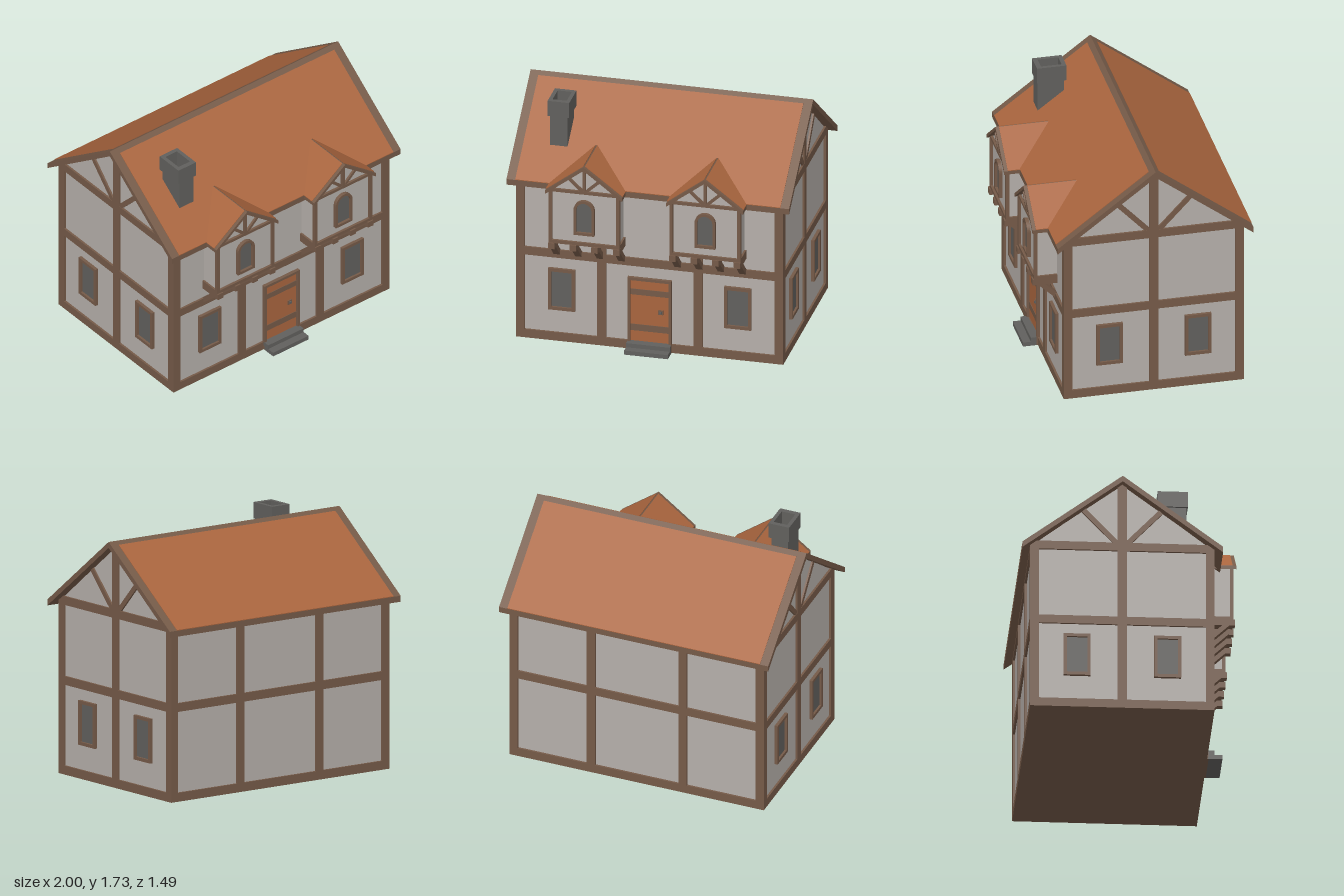
import * as THREE from 'three';

const mat = (name, color) => Object.assign(new THREE.MeshStandardMaterial({ color }), { name });

export function createModel() {
  const plaster = mat('plaster', 0xb5afaa);
  const timber = mat('timber', 0x755a48);
  const tile = mat('clay orange', 0xa9653e);
  const stone = mat('grey stone', 0x61605d);

  const house = new THREE.Group();
  house.name = 'house';
  const CZ = -0.055; // centre line of the body in z

  const add = (parent, name, geo, material) => {
    const m = new THREE.Mesh(geo, material);
    m.name = name;
    parent.add(m);
    return m;
  };
  // Box from its limits
  const box = (parent, name, material, x0, x1, y0, y1, z0, z1) => {
    const g = new THREE.BoxGeometry(x1 - x0, y1 - y0, z1 - z0);
    g.translate((x0 + x1) / 2, (y0 + y1) / 2, (z0 + z1) / 2);
    return add(parent, name, g, material);
  };
  const poly = (pts) => new THREE.Shape(pts.map(([a, b]) => new THREE.Vector2(a, b)));
  // Profile in x,y extruded from z0 to z1
  const prismZ = (parent, name, material, shape, z0, z1) => {
    const g = new THREE.ExtrudeGeometry(shape, { depth: z1 - z0, bevelEnabled: false, curveSegments: 10 });
    g.translate(0, 0, z0);
    return add(parent, name, g, material);
  };
  // Profile in z,y extruded from x0 to x1
  const prismX = (parent, name, material, shape, x0, x1) => {
    const g = new THREE.ExtrudeGeometry(shape, { depth: x1 - x0, bevelEnabled: false });
    g.rotateY(-Math.PI / 2);
    g.translate(x1, 0, 0);
    return add(parent, name, g, material);
  };
  // Straight strip of width w between two points
  const strip = ([ax, ay], [bx, by], w) => {
    const l = Math.hypot(bx - ax, by - ay);
    const nx = (-(by - ay) / l) * w / 2, ny = ((bx - ax) / l) * w / 2;
    return poly([[ax - nx, ay - ny], [bx - nx, by - ny], [bx + nx, by + ny], [ax + nx, ay + ny]]);
  };
  // Roof cross-section, and the tile sheet lying on one slope
  const chevron = (c, half, top, eave, t) => poly([
    [c - half, eave - t], [c, top - t], [c + half, eave - t], [c + half, eave], [c, top], [c - half, eave]]);
  const sheet = (c, half, top, eave, s, gap) => {
    const y = top - (gap / half) * (top - eave), t = 0.005;
    return poly([[c + s * gap, y], [c + s * half, eave], [c + s * half, eave + t], [c + s * gap, y + t]]);
  };
  const rect = (w, y0, y1) => poly([[-w, y0], [w, y0], [w, y1], [-w, y1]]);
  const arch = (w, y0, spring) => {
    const s = new THREE.Shape();
    s.moveTo(-w, y0);
    s.lineTo(w, y0);
    s.lineTo(w, spring);
    s.absarc(0, spring, w, 0, Math.PI, false);
    s.closePath();
    return s;
  };
  // Frame and pane, facing +z with its back on z = 0
  const opening = (parent, name, outer, inner, paneMat, depth) => {
    const g = new THREE.Group();
    g.name = name;
    outer.holes.push(inner);
    prismZ(g, 'frame', timber, outer, -0.005, depth);
    prismZ(g, 'pane', paneMat, inner, -0.005, 0.007);
    parent.add(g);
    return g;
  };

  // Walls
  prismX(house, 'walls', plaster, poly([
    [-0.675, 0.03], [0.565, 0.03], [0.565, 1.22], [CZ, 1.70], [-0.675, 1.22]]), -0.93, 0.93);

  // Horizontal timbers around the body
  for (const [y0, y1, name] of [[0, 0.062, 'sillBeam'], [0.63, 0.69, 'floorBeam'], [1.19, 1.25, 'wallPlate']])
    box(house, name, timber, -0.945, 0.945, y0, y1, -0.69, 0.58);

  for (const s of [-1, 1]) {
    const lo = (a, b) => [Math.min(s * a, s * b), Math.max(s * a, s * b)];
    // Posts
    for (const z of [-0.69, 0.52]) box(house, 'cornerPost', timber, ...lo(0.885, 0.945), 0, 1.22, z, z + 0.06);
    box(house, 'frontPost', timber, ...lo(0.31, 0.372), 0, 1.2, 0.55, 0.58);
    box(house, 'backPost', timber, ...lo(0.31, 0.372), 0, 1.2, -0.69, -0.66);
    box(house, 'gablePost', timber, ...lo(0.915, 0.945), 0, 1.69, CZ - 0.032, CZ + 0.032);
    // Gable braces
    for (const d of [-1, 1])
      prismX(house, 'gableBrace', timber,
        strip([CZ + d * 0.025, 1.235], [CZ + d * 0.265, 1.49], 0.036), ...lo(0.915, 0.943));
    // Ground floor windows
    opening(house, 'frontWindow', rect(0.095, 0.235, 0.548), rect(0.073, 0.258, 0.525), stone, 0.022)
      .position.set(s * 0.623, 0, 0.565);
    for (const z of [0.257, -0.367]) {
      const w = opening(house, 'sideWindow', rect(0.093, 0.238, 0.55), rect(0.071, 0.261, 0.528), stone, 0.023);
      w.position.set(s * 0.93, 0, z);
      w.rotation.y = s * Math.PI / 2;
    }
  }

  // Main roof
  prismX(house, 'roofFrame', timber, chevron(CZ, 0.69, 1.732, 1.215, 0.042), -1, 1);
  for (const s of [-1, 1])
    prismX(house, 'roofTiles', tile, sheet(CZ, 0.69, 1.732, 1.215, s, 0.035), -0.938, 0.938);

  // Hollow chimney
  const ring = (name, x0, x1, z0, z1, y0, y1) => {
    const wall = poly([[x0, -z1], [x1, -z1], [x1, -z0], [x0, -z0]]);
    wall.holes.push(poly([[-0.738, -0.375], [-0.638, -0.375], [-0.638, -0.23], [-0.738, -0.23]]));
    const g = new THREE.ExtrudeGeometry(wall, { depth: y1 - y0, bevelEnabled: false });
    g.rotateX(-Math.PI / 2);
    g.translate(0, y0, 0);
    add(house, name, g, stone);
  };
  ring('chimneyShaft', -0.75, -0.626, 0.215, 0.4, 1.37, 1.63);
  ring('chimneyCap', -0.765, -0.612, 0.2, 0.408, 1.617, 1.732);

  // Door and steps
  const door = opening(house, 'door', rect(0.155, 0.0, 0.545), rect(0.136, 0.06, 0.525), tile, 0.025);
  door.position.z = 0.565;
  for (const [y0, y1] of [[0.14, 0.188], [0.412, 0.455]])
    box(door, 'doorBand', timber, -0.136, 0.136, y0, y1, 0.005, 0.011);
  box(door, 'handlePlate', timber, 0.06, 0.095, 0.278, 0.312, 0.005, 0.014);
  box(door, 'handle', stone, 0.069, 0.086, 0.287, 0.303, 0.012, 0.022);
  box(house, 'lowerStep', stone, -0.155, 0.155, 0, 0.031, 0.55, 0.685);
  box(house, 'upperStep', stone, -0.155, 0.155, 0.031, 0.062, 0.55, 0.63);

  // Jettied dormers
  for (const side of [-1, 1]) {
    const d = new THREE.Group();
    d.name = side > 0 ? 'leftDormer' : 'rightDormer';
    d.position.x = side * 0.428;
    house.add(d);
    prismZ(d, 'dormerWalls', plaster, poly([
      [-0.238, 0.82], [0.238, 0.82], [0.238, 1.21], [0, 1.39], [-0.238, 1.21]]), 0.5, 0.71);
    box(d, 'dormerSill', timber, -0.252, 0.252, 0.812, 0.836, 0.55, 0.728);
    box(d, 'dormerTie', timber, -0.252, 0.252, 1.204, 1.226, 0.69, 0.728);
    box(d, 'kingPost', timber, -0.011, 0.011, 1.22, 1.4, 0.69, 0.727);
    for (const s of [-1, 1]) {
      box(d, 'dormerPost', timber, s * 0.24 - 0.012, s * 0.24 + 0.012, 0.83, 1.21, 0.704, 0.728);
      prismZ(d, 'dormerBrace', timber, strip([s * 0.008, 1.218], [s * 0.115, 1.318], 0.02), 0.69, 0.726);
      prismZ(d, 'dormerTiles', tile, sheet(0, 0.272, 1.418, 1.213, s, 0.006), 0.35, 0.72);
    }
    prismZ(d, 'dormerRoofFrame', timber, chevron(0, 0.272, 1.418, 1.213, 0.026), 0.35, 0.745);
    opening(d, 'archedWindow', arch(0.073, 0.895, 1.083), arch(0.054, 0.915, 1.083), stone, 0.026)
      .position.z = 0.71;
    // Joists with diagonal brackets
    for (let i = 0; i < 4; i++) {
      const x = -0.229 + i * 0.1527;
      box(d, 'joist', timber, x - 0.023, x + 0.023, 0.77, 0.814, 0.55, 0.738);
      prismX(d, 'bracket', timber, poly([
        [0.705, 0.775], [0.655, 0.775], [0.565, 0.69], [0.565, 0.643]]), x - 0.023, x + 0.023);
    }
  }
  return house;
}
